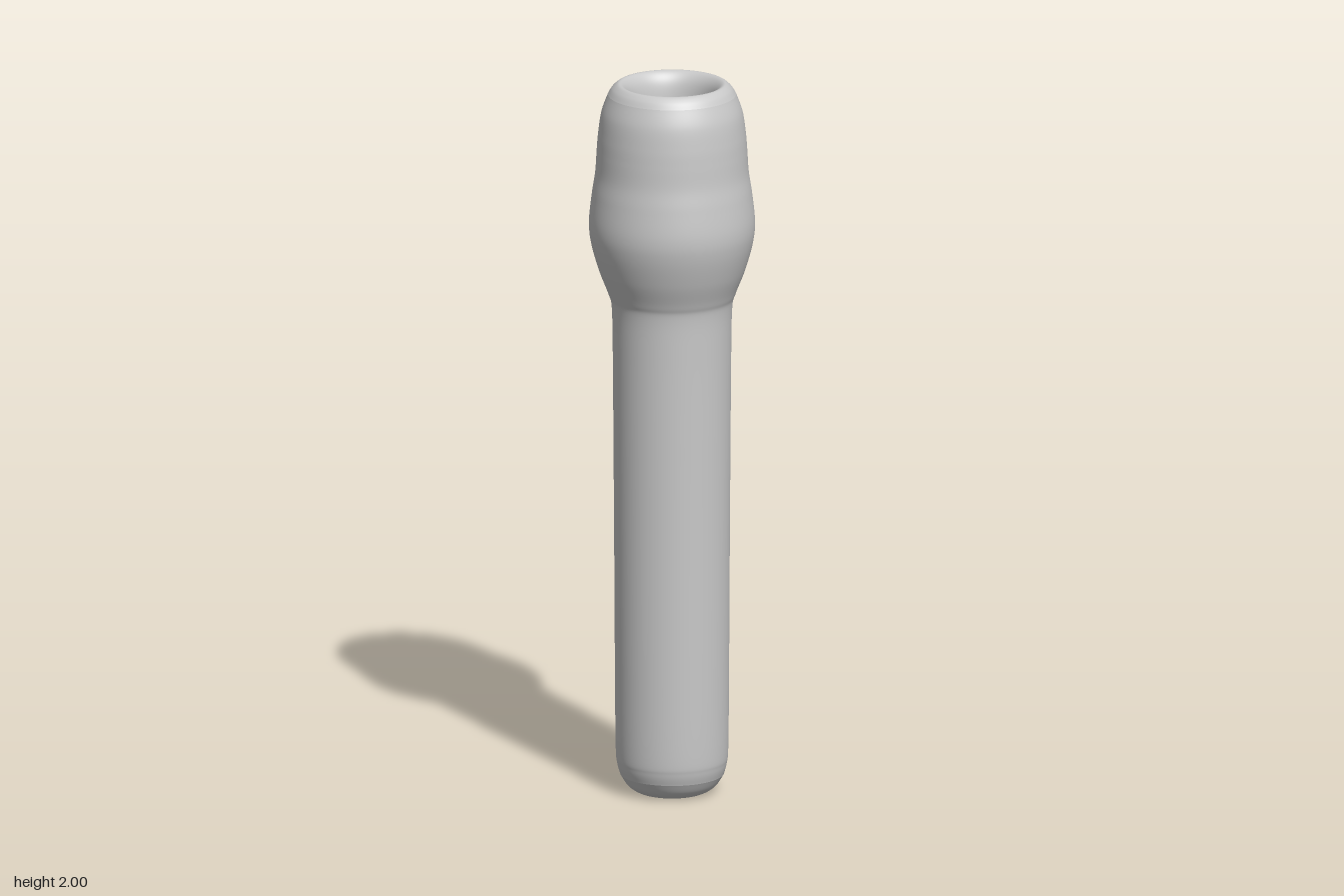
import * as THREE from 'three';

export function createModel() {
  const model = new THREE.Group();
  model.name = 'hollowPipe';
  const grey = new THREE.MeshStandardMaterial({ color: 0xc8c8c8 });
  grey.name = 'plain grey';

  // Turn a smooth curve through [radius, height] points around the y axis.
  function turned(name, profile, steps) {
    const curve = new THREE.SplineCurve(profile.map(([r, y]) => new THREE.Vector2(r, y)));
    const mesh = new THREE.Mesh(new THREE.LatheGeometry(curve.getPoints(steps), 96), grey);
    mesh.name = name;
    model.add(mesh);
  }

  // Outer wall: straight stem, swelling into the bulged head
  turned('outerBody', [
    [0.142, 0.05], [0.15, 0.08], [0.154, 0.13], [0.156, 0.35], [0.158, 0.7],
    [0.16, 1.0], [0.162, 1.25], [0.165, 1.37], [0.175, 1.41], [0.2, 1.475],
    [0.221, 1.55], [0.227, 1.61], [0.219, 1.69], [0.21, 1.75], [0.206, 1.81],
    [0.202, 1.86], [0.193, 1.92], [0.175, 1.97],
  ], 140);

  // Rounded rim rolling over into the deep bowl, down to the narrow bore
  turned('rimAndBowl', [
    [0.175, 1.97], [0.163, 1.988], [0.145, 2.0], [0.128, 1.99], [0.115, 1.965],
    [0.108, 1.92], [0.102, 1.84], [0.09, 1.74], [0.07, 1.66], [0.04, 1.61],
    [0.02, 1.58], [0.012, 1.53],
  ], 70);

  // Narrow bore running the length of the stem
  turned('bore', [[0.012, 1.53], [0.012, 0.14]], 1);

  // Flared opening and rounded lip at the lower end
  turned('lowerMouth', [
    [0.012, 0.14], [0.02, 0.1], [0.04, 0.06], [0.058, 0.025], [0.07, 0.007],
    [0.085, 0], [0.105, 0.007], [0.125, 0.023], [0.142, 0.05],
  ], 50);

  return model;
}
